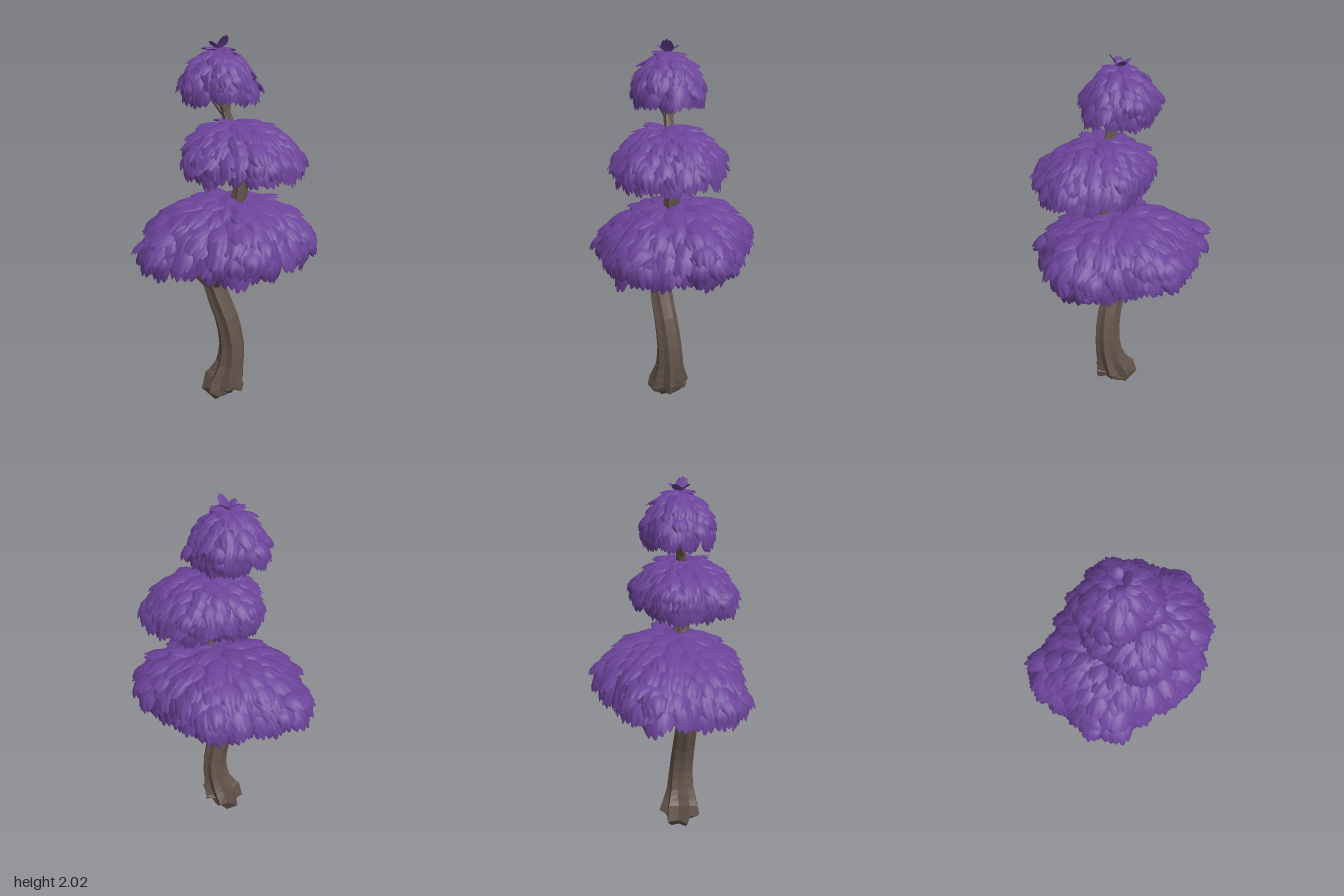
import * as THREE from 'three';
import { mergeGeometries } from 'three/addons/utils/BufferGeometryUtils.js';

const V = (x, y, z) => new THREE.Vector3(x, y, z);

// Small seeded generator; rnd(a, b) gives a value between a and b
let seed = 7;
function rnd(a, b) {
  seed = (seed * 16807) % 2147483647;
  return a + (b - a) * (seed / 2147483647);
}

// Builds an indexed grid from point(i, j); triangles face outward for i up, j around
function grid(rows, cols, point) {
  const pos = [], idx = [];
  for (let i = 0; i <= rows; i++)
    for (let j = 0; j <= cols; j++) pos.push(...point(i, j).toArray());
  for (let i = 0; i < rows; i++)
    for (let j = 0; j < cols; j++) {
      const a = i * (cols + 1) + j, b = a + cols + 1;
      idx.push(a, b, a + 1, b, b + 1, a + 1);
    }
  const g = new THREE.BufferGeometry();
  g.setAttribute('position', new THREE.Float32BufferAttribute(pos, 3));
  g.setIndex(idx);
  g.computeVertexNormals();
  return g;
}

// Ridged limb through stations [x, y, z, radius, ridge depth]
function limb(stations, sides, steps, twist = 0) {
  const curve = new THREE.CatmullRomCurve3(stations.map(s => V(s[0], s[1], s[2])));
  const n = stations.length - 1;
  const rows = n * steps;
  return grid(rows, sides, (i, j) => {
    const t = i / rows, k = Math.min(Math.floor(t * n), n - 1), f = t * n - k;
    const mix = c => THREE.MathUtils.lerp(stations[k][c], stations[k + 1][c], f);
    const dir = curve.getTangent(t);
    const a = dir.clone().cross(V(0, 0, 1)).normalize();
    const b = a.clone().cross(dir);
    const th = (j % sides) / sides * Math.PI * 2;
    const r = mix(3) * (1 + mix(4) * (j % 2 ? -1 : 1) + mix(4) * 0.35 * Math.sin(2 * th + 1));
    return curve.getPoint(t)
      .addScaledVector(a, r * Math.cos(th + twist * t))
      .addScaledVector(b, r * Math.sin(th + twist * t));
  });
}

// Point on a canopy dome: phi runs from the apex to the rim, th around it
function domePoint(c, phi, th) {
  const k = Math.pow(Math.sin(phi), c.power) * (1 + c.corner * Math.cos(5 * (th + Math.PI / 2)));
  const z = c.rz * k * Math.sin(th);
  return V(c.x + c.shift * Math.cos(phi) + c.rx * k * Math.cos(th),
    c.y + c.h * Math.cos(phi) - c.slope * z, c.z + z);
}

// Three-lobed cupped leaf growing downhill from a dome point
function leaf(c, phi, th, { size, tilt, bend, yaw }) {
  const e = 0.01;
  const base = domePoint(c, phi, th);
  let t = domePoint(c, phi + e, th).sub(domePoint(c, phi - e, th)).normalize();
  let s = domePoint(c, phi, th + e).sub(domePoint(c, phi, th - e)).normalize();
  const n = s.clone().cross(t).normalize();
  t.applyAxisAngle(n, yaw);
  s = t.clone().cross(n);
  const rows = 4, cols = 12, length = size * 1.2, half = size * 0.5;
  const along = [0], out = [0.006];
  for (let i = 0; i < rows; i++) {
    const a = tilt - bend * (i + 0.5) / rows;
    along.push(along[i] + Math.cos(a) * length / rows);
    out.push(out[i] + Math.sin(a) * length / rows);
  }
  return grid(rows, cols, (i, j) => {
    const v = 1 - 2 * j / cols, u = i / rows;
    const lobe = 0.82 + 0.18 * Math.abs(Math.cos(1.5 * Math.PI * v)) - 0.22 * v * v;
    const w = half * (0.3 + 0.75 * Math.sin(u * 2.2));
    return base.clone()
      .addScaledVector(s, v * w)
      .addScaledVector(t, along[i] * lobe)
      .addScaledVector(n, out[i] * (0.4 + 0.6 * lobe) - 0.3 * w * v * v);
  });
}

function canopyLeaves(c) {
  const leaves = [];
  // Overlapping rings from crown to rim
  for (let i = 0; i < c.rings; i++) {
    const phi = 0.12 + 1.43 * i / (c.rings - 1);
    const r = (c.rx + c.rz) / 2 * Math.pow(Math.sin(phi), c.power);
    const count = Math.max(5, Math.round(2 * Math.PI * r / (c.leaf * 0.72)));
    for (let j = 0; j < count; j++)
      leaves.push(leaf(c, phi + rnd(-0.06, 0.03), (j + i % 2 / 2 + rnd(-0.2, 0.2)) / count * Math.PI * 2, {
        size: c.leaf * rnd(0.88, 1.15), tilt: rnd(0.2, 0.45), bend: rnd(0.4, 0.8), yaw: rnd(-0.25, 0.25),
      }));
  }
  // Loose sprays that arch outward, gathered at the five corners
  for (let k = 0; k < 5; k++)
    for (let j = 0; j < c.sprays; j++)
      leaves.push(leaf(c, rnd(1.1, 1.5), -Math.PI / 2 + k * Math.PI * 0.4 + rnd(-0.3, 0.3), {
        size: c.leaf * rnd(0.95, 1.15), tilt: rnd(0.7, 1.1), bend: rnd(1.2, 1.8), yaw: rnd(-0.35, 0.35),
      }));
  // Upright tuft on the crown
  for (let j = 0; j < c.tuft; j++)
    leaves.push(leaf(c, 0.1, j / c.tuft * Math.PI * 2 + 0.4, {
      size: c.leaf * (j ? 0.65 : 0.85), tilt: 1.25, bend: j ? 0.9 : 0.3, yaw: 0,
    }));
  return mergeGeometries(leaves);
}

export function createModel() {
  seed = 7;
  const tree = new THREE.Group();
  tree.name = 'tieredTree';
  const bark = new THREE.MeshStandardMaterial({ color: 0x65564c, flatShading: true, side: THREE.DoubleSide });
  const foliage = new THREE.MeshStandardMaterial({ color: 0x6b4399, side: THREE.DoubleSide });
  const add = (parent, name, geometry, material) => {
    const m = new THREE.Mesh(geometry, material);
    m.name = name;
    parent.add(m);
  };

  // Trunk: closed pointed foot, flared roots, then an S-curve up through all tiers
  add(tree, 'trunk', limb([
    [0.075, 0.0, 0.03, 0.002, 0], [0.065, 0.015, 0.03, 0.06, 0.1],
    [0.03, 0.05, 0.033, 0.108, 0.18], [0.05, 0.11, 0.035, 0.09, 0.16],
    [0.07, 0.18, 0.035, 0.074, 0.1], [0.082, 0.3, 0.04, 0.066, 0.08],
    [0.055, 0.46, 0.055, 0.062, 0.08], [-0.01, 0.64, 0.07, 0.058, 0.08],
    [-0.01, 0.8, 0.065, 0.052, 0.08], [0.05, 0.96, 0.045, 0.046, 0.08],
    [0.115, 1.12, 0.035, 0.042, 0.08], [0.13, 1.24, 0.035, 0.038, 0.08],
    [0.12, 1.38, 0.035, 0.032, 0.08], [0.065, 1.52, 0.03, 0.027, 0.08],
    [0.03, 1.62, 0.03, 0.023, 0.08], [0.0, 1.74, 0.03, 0.014, 0.08],
    [0.0, 1.84, 0.03, 0.004, 0],
  ], 14, 2, 0.9), bark);

  // Branches: [start, tip, radius], each arching outward then up
  const branches = {
    lowerBranches: [
      [[-0.02, 0.63, 0.07], [-0.29, 0.9, 0.03], 0.032],
      [[-0.01, 0.63, 0.07], [0.23, 0.88, 0.02], 0.032],
      [[-0.01, 0.64, 0.08], [-0.07, 0.88, 0.31], 0.032],
      [[-0.01, 0.63, 0.06], [0.02, 0.88, -0.26], 0.032],
      [[-0.01, 0.64, 0.08], [0.14, 0.86, 0.24], 0.028],
    ],
    middleBranches: [
      [[0.13, 1.18, 0.035], [0.02, 1.42, 0.06], 0.023],
      [[0.13, 1.18, 0.035], [0.27, 1.42, 0.04], 0.023],
      [[0.13, 1.19, 0.035], [0.13, 1.41, 0.19], 0.022],
      [[0.13, 1.19, 0.035], [0.15, 1.41, -0.1], 0.022],
    ],
    topBranches: [
      [[0.045, 1.56, 0.03], [-0.07, 1.76, 0.05], 0.014],
      [[0.045, 1.56, 0.03], [0.07, 1.76, 0.02], 0.014],
      [[0.045, 1.57, 0.03], [0.01, 1.76, 0.11], 0.013],
      [[0.045, 1.57, 0.03], [0.02, 1.76, -0.05], 0.013],
    ],
  };
  for (const [name, list] of Object.entries(branches)) {
    const group = new THREE.Group();
    group.name = name;
    for (const [a, b, r] of list) {
      const at = (f, g) => [0, 2].map(k => a[k] + (b[k] - a[k]) * f).toSpliced(1, 0, a[1] + (b[1] - a[1]) * g);
      add(group, 'branch', limb([
        [...a, r, 0.06], [...at(0.4, 0.28), r * 0.85, 0.06],
        [...at(0.8, 0.65), r * 0.65, 0.06], [...b, r * 0.2, 0],
      ], 8, 2), bark);
    }
    tree.add(group);
  }

  // Three canopy tiers: an open dome shell covered in leaves
  const tiers = {
    lowerCanopy: { x: 0.005, y: 0.87, z: -0.005, rx: 0.44, rz: 0.37, h: 0.26, shift: 0.05, slope: 0.07,
      corner: 0.06, power: 1, leaf: 0.115, rings: 9, sprays: 7, tuft: 0 },
    middleCanopy: { x: 0.14, y: 1.34, z: 0.055, rx: 0.29, rz: 0.26, h: 0.2, shift: -0.03, slope: 0.05,
      corner: 0.05, power: 1.05, leaf: 0.095, rings: 8, sprays: 4, tuft: 0 },
    topCanopy: { x: -0.005, y: 1.71, z: 0.02, rx: 0.185, rz: 0.17, h: 0.2, shift: 0.0, slope: 0,
      corner: 0.04, power: 1.25, leaf: 0.08, rings: 7, sprays: 3, tuft: 4 },
  };
  for (const [name, c] of Object.entries(tiers)) {
    const group = new THREE.Group();
    group.name = name;
    add(group, 'shell', grid(10, 40, (i, j) =>
      domePoint(c, Math.PI / 2 * (1 - i / 10), (j % 40) / 40 * Math.PI * 2)), foliage);
    add(group, 'leaves', canopyLeaves(c), foliage);
    tree.add(group);
  }
  return tree;
}
